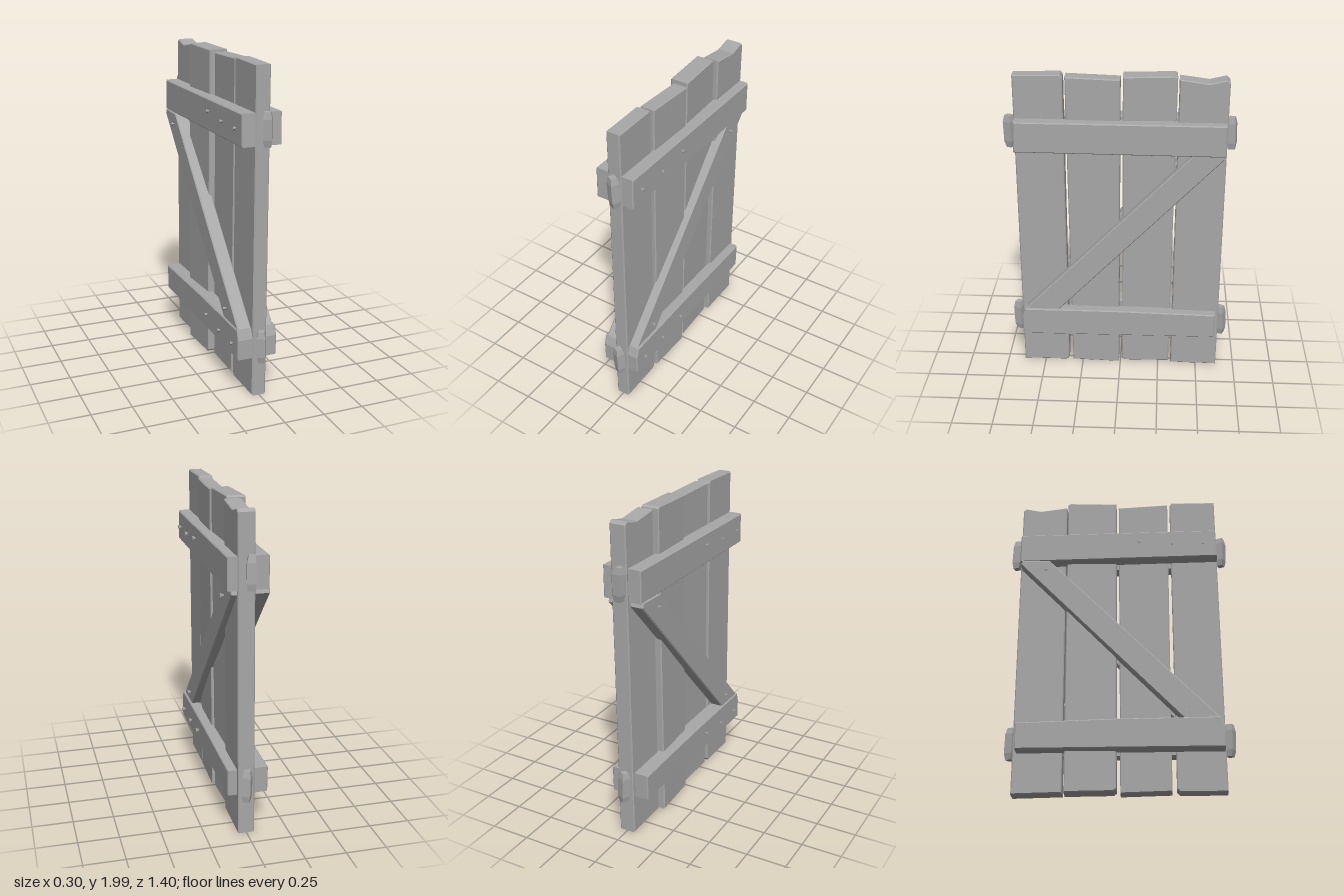
import * as THREE from 'three';

export function createModel() {
  const door = new THREE.Group();
  door.name = 'plankDoor';
  const wood = new THREE.MeshStandardMaterial({ color: 0xa8a8a8 });
  wood.name = 'weathered grey';

  // Bevelled board: outline given as [z, y] corners, thick from x0 to x1, leaning and twisting slightly
  function board(name, outline, x0, x1, lean = 0, twist = 0) {
    const b = 0.006;
    const shape = new THREE.Shape(outline.map(([z, y]) => new THREE.Vector2(-z, y)));
    const g = new THREE.ExtrudeGeometry(shape, {
      depth: x1 - x0 - 2 * b, bevelEnabled: true, bevelThickness: b,
      bevelSize: b, bevelOffset: -b, bevelSegments: 1,
    });
    g.rotateY(Math.PI / 2);
    g.translate(x0 + b, 0, 0);
    const zMid = outline.reduce((s, p) => s + p[0], 0) / outline.length;
    const p = g.attributes.position;
    for (let i = 0; i < p.count; i++) {
      p.setX(i, p.getX(i) + lean * (p.getY(i) - 1) + twist * (p.getZ(i) - zMid));
    }
    g.computeVertexNormals();
    const m = new THREE.Mesh(g, wood);
    m.name = name;
    door.add(m);
  }

  // Four upright planks with uneven ends
  board('plankFront', [[0.64, 0.01], [0.36, 0.01], [0.342, 0.03], [0.34, 1.98], [0.352, 2.0], [0.635, 1.995]], -0.042, 0.046, 0.004, 0);
  board('plankMidFront', [[0.315, 0.015], [0.01, 0.01], [0.0, 1.98], [0.325, 1.99]], -0.036, 0.056, 0.006, -0.02);
  board('plankMidBack', [[-0.012, 0.03], [-0.03, 0.015], [-0.32, 0.01], [-0.335, 1.99], [-0.32, 2.0], [-0.015, 1.995]], -0.068, 0.044, 0.01, 0.04);
  board('plankBack', [[-0.335, 0.015], [-0.635, 0.01], [-0.638, 1.97], [-0.62, 1.988], [-0.52, 1.965], [-0.345, 1.988]], -0.042, 0.06, 0.008, 0);

  // Cross rails and diagonal brace on both faces
  const topRail = [[0.635, 1.54], [-0.63, 1.53], [-0.63, 1.725], [0.63, 1.73]];
  const lowRail = [[0.632, 0.255], [-0.61, 0.26], [-0.615, 0.425], [0.0, 0.44], [0.615, 0.442], [0.635, 0.38]];
  const brace = [[0.63, 0.38], [0.41, 0.42], [-0.625, 1.505], [-0.615, 1.535], [-0.44, 1.53], [0.61, 0.44]];
  board('topRailRight', topRail, 0.04, 0.123);
  board('topRailLeft', topRail, -0.122, -0.034);
  board('lowRailRight', lowRail, 0.036, 0.112);
  board('lowRailLeft', lowRail, -0.136, -0.036);
  board('braceRight', brace, 0.038, 0.098);
  board('braceLeft', brace, -0.128, -0.042);

  // Tapered diamond pegs on both edges, at rail height
  const pegShape = [[0, -0.1], [0.026, -0.1], [0.037, -0.06], [0.037, 0.06], [0.026, 0.1], [0, 0.1]]
    .map(([r, y]) => new THREE.Vector2(r, y));
  const pegGeo = new THREE.LatheGeometry(pegShape, 4).toNonIndexed();
  pegGeo.computeVertexNormals();
  for (const [x, y, z, turn] of [
    [0.02, 1.64, 0.666, 0.3], [0.0, 0.335, 0.666, 0.3],
    [-0.005, 1.64, -0.665, 0.55], [0.005, 0.335, -0.655, 0.3],
  ]) {
    const m = new THREE.Mesh(pegGeo, wood);
    m.name = 'edgePeg';
    m.position.set(x, y, z);
    m.rotation.set(0.02, turn, 0.03);
    door.add(m);
  }

  // Nail heads: small cones sticking out of rails and braces
  const nailGeo = new THREE.ConeGeometry(0.014, 0.035, 5).toNonIndexed();
  nailGeo.computeVertexNormals();
  function nail(side, x, y, z) {
    const m = new THREE.Mesh(nailGeo, wood);
    m.name = 'nail';
    m.position.set(side * x, y, z);
    m.rotation.z = side * Math.PI / 2;
    door.add(m);
  }
  for (const side of [1, -1]) {
    const r = side > 0;
    for (const [z, dy] of [[0.55, 0], [0.35, 0], [0.14, 0.02]]) {
      nail(side, r ? 0.126 : 0.124, 1.635 + dy, z);
      nail(side, r ? 0.115 : 0.138, 0.335 + dy, z);
    }
    nail(side, r ? 0.104 : 0.133, 1.46, -0.46);
    nail(side, r ? 0.104 : 0.133, 0.51, 0.43);
  }
  return door;
}
